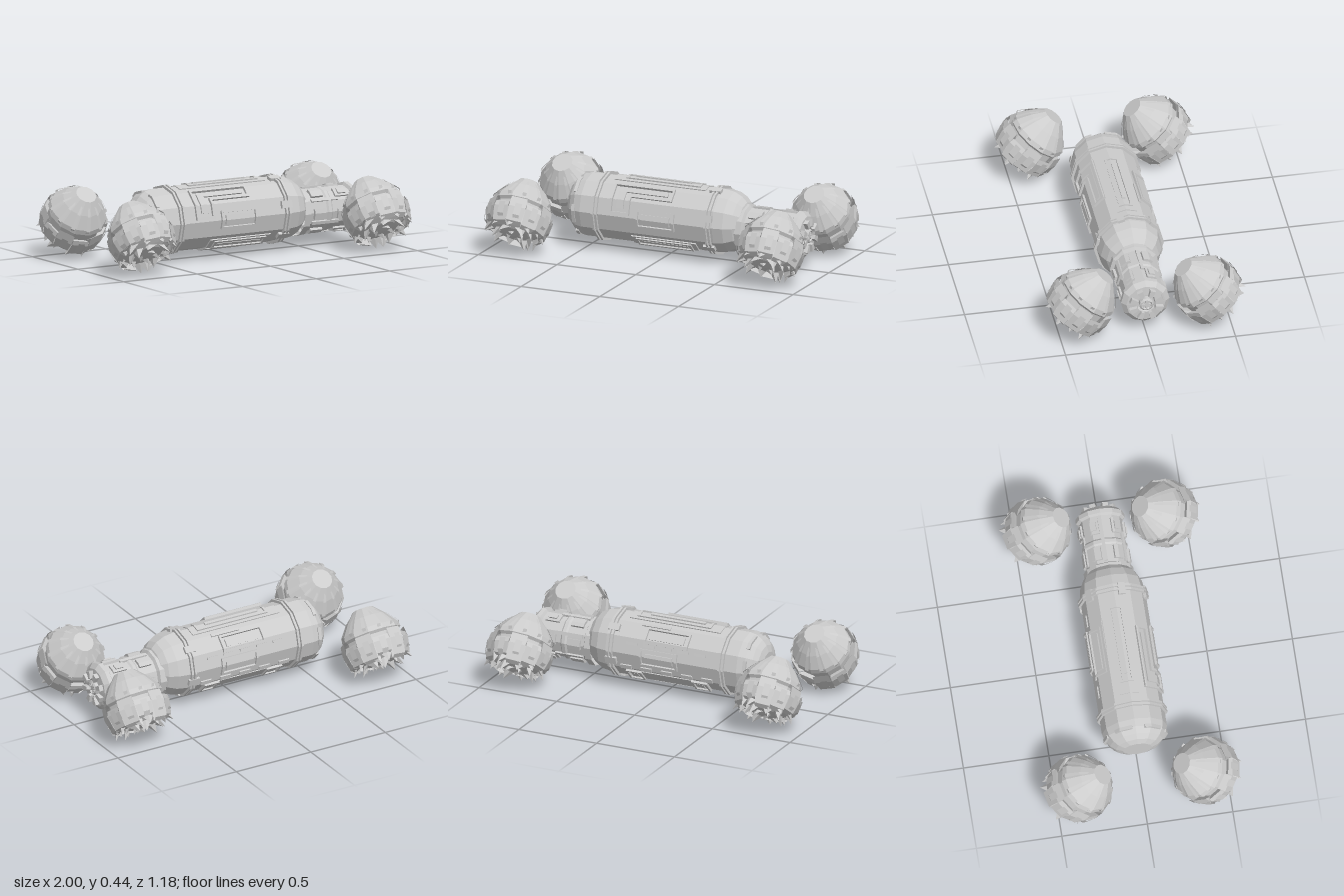
import * as THREE from 'three';

const grey = new THREE.MeshStandardMaterial({ color: 0xcccccc, flatShading: true, side: THREE.DoubleSide });
const RAD = Math.PI / 180;
const HULL_Y = 0.22, HULL_R = 0.19, NECK_Y = 0.19, NECK_R = 0.125;

function add(parent, name, geometry) {
  const mesh = new THREE.Mesh(geometry, grey);
  mesh.name = name;
  parent.add(mesh);
  return mesh;
}

// Faceted solid of revolution; points are [position along axis, radius]
const lathe = (pts, sides = 12, start = 0, length = Math.PI * 2) =>
  new THREE.LatheGeometry(pts.map(([a, r]) => new THREE.Vector2(r, a)), sides, start, length);
const latheX = (pts) => lathe(pts).rotateZ(-Math.PI / 2);

// Plate hugging a 12-sided tube along x; angles run from the top towards the front
function plate(parent, name, x0, x1, a0, a1, height, radius = HULL_R) {
  const angles = [a0];
  for (let a = Math.floor(a0 / 30) * 30 + 30; a < a1; a += 30) angles.push(a);
  angles.push(a1);
  const point = (a, h) => {
    const local = (((a % 30) + 30) % 30) - 15;
    const r = radius * Math.cos(15 * RAD) / Math.cos(local * RAD) + h;
    return new THREE.Vector2(-r * Math.sin(a * RAD), r * Math.cos(a * RAD));
  };
  const outline = [...angles.map(a => point(a, height)), ...angles.reverse().map(a => point(a, -0.02))];
  const g = new THREE.ExtrudeGeometry(new THREE.Shape(outline), { depth: x1 - x0, bevelEnabled: false });
  return add(parent, name, g.rotateY(Math.PI / 2).translate(x0, 0, 0));
}

// Raised border around a lower centre plate
function hatch(parent, name, x0, x1, a0, a1, h = 0.012, inner = true) {
  const g = new THREE.Group();
  g.name = name;
  parent.add(g);
  const t = 0.012, ta = 4;
  plate(g, 'hatchEdge', x0, x1, a0, a0 + ta, h);
  plate(g, 'hatchEdge', x0, x1, a1 - ta, a1, h);
  plate(g, 'hatchEnd', x0, x0 + t, a0, a1, h);
  plate(g, 'hatchEnd', x1 - t, x1, a0, a1, h);
  if (inner) plate(g, 'hatchCentre', x0 + 2.5 * t, x1 - 2.5 * t, a0 + 2 * ta, a1 - 2 * ta, h * 0.7);
}

function buildHull() {
  const hull = new THREE.Group();
  hull.name = 'hull';
  hull.position.y = HULL_Y;
  add(hull, 'hullShell', latheX([[-0.62, 0], [-0.62, 0.085], [-0.605, 0.125], [-0.58, 0.155], [-0.545, 0.18],
    [-0.5, HULL_R], [0.34, HULL_R], [0.4, 0.18], [0.45, 0.155], [0.48, 0.125], [0.49, 0.1], [0.49, 0]]));
  // paired bands
  for (const x of [-0.415, -0.393, 0.3, 0.322])
    add(hull, 'band', latheX([[x - 0.006, 0.18], [x - 0.006, 0.206], [x + 0.006, 0.206], [x + 0.006, 0.18]]));

  // spine panel
  plate(hull, 'spinePanel', -0.34, 0.24, -20, 16, 0.006);
  hatch(hull, 'spineFrame', -0.27, 0.2, -14, 10, 0.014, false);
  plate(hull, 'spineSlat', -0.22, 0.13, -5, 1, 0.014);
  // upper rear hatch and upper front ledge
  hatch(hull, 'upperRearHatch', -0.18, 0.1, -66, -36, 0.014);
  plate(hull, 'upperRearSlat', -0.04, 0.14, -34, -29, 0.008);
  // stepped L-shaped panel on the front
  for (const [x0, x1, a0, a1] of [[-0.31, 0.07, 28, 33], [0.058, 0.07, 28, 52], [-0.19, 0.07, 48, 53],
    [-0.2, -0.185, 48, 86], [-0.31, -0.185, 81, 86], [-0.31, -0.297, 28, 86]])
    plate(hull, 'stepPanelEdge', x0, x1, a0, a1, 0.015);
  plate(hull, 'stepPanelArm', -0.27, 0.035, 37, 44, 0.009);
  plate(hull, 'stepPanelLeg', -0.27, -0.225, 37, 75, 0.009);
  // side hatches
  hatch(hull, 'frontHatch', -0.14, 0.1, 73, 106, 0.013);
  hatch(hull, 'rearHatch', -0.12, 0.12, -108, -76, 0.013);
  plate(hull, 'lowerFrontPanel', -0.19, 0.22, 128, 154, 0.008);
  hatch(hull, 'lowerFrontFrame', -0.16, 0.19, 131, 151, 0.016);
  plate(hull, 'lowerRearPanel', -0.3, 0.2, -150, -124, 0.006);
  // belly panel and small square hatches
  plate(hull, 'bellyPanel', -0.18, 0.08, 158, 202, 0.012);
  for (const x of [-0.3, 0.12]) hatch(hull, 'bellyHatch', x, x + 0.1, 208, 236, 0.016);
  for (let i = 0; i < 5; i++) {
    plate(hull, 'bellySlat', -0.34 + i * 0.13, -0.27 + i * 0.13, 240, 247, 0.008);
    plate(hull, 'rearSlat', -0.3 + i * 0.11, -0.23 + i * 0.11, -72, -68, 0.008);
  }
  // short plates beside the bands and on the domed end
  for (let a = 8; a < 360; a += 60) {
    plate(hull, 'bandClamp', 0.27, 0.34, a, a + 12, 0.018);
    plate(hull, 'domeRib', -0.555, -0.535, a + 10, a + 46, 0.004, 0.184);
  }
  return hull;
}

function buildNeck() {
  const neck = new THREE.Group();
  neck.name = 'neck';
  neck.position.y = NECK_Y;
  add(neck, 'neckShell', latheX([[0.46, 0.145], [0.5, 0.145], [0.51, NECK_R], [0.62, NECK_R], [0.63, 0.133],
    [0.65, 0.133], [0.66, NECK_R], [0.8, NECK_R], [0.81, 0.143], [0.835, 0.143], [0.86, 0.115], [0.865, 0.06],
    [0.85, 0.05], [0.85, 0]]));
  for (const a of [-40, 20, 80, 140, 200, 260]) {
    plate(neck, 'neckBlock', 0.53, 0.61, a, a + 26, 0.016, NECK_R);
    plate(neck, 'neckRail', 0.52, 0.7, a + 32, a + 40, 0.012, NECK_R);
    plate(neck, 'neckPad', 0.69, 0.78, a + 4, a + 30, 0.012, NECK_R);
    plate(neck, 'neckPadTop', 0.71, 0.76, a + 10, a + 24, 0.02, NECK_R);
  }
  // ring of teeth around the docking hub
  for (let i = 0; i < 8; i++) {
    const tooth = new THREE.BoxGeometry(0.035, 0.045, 0.035);
    const p = tooth.attributes.position;
    for (let k = 0; k < p.count; k++) if (p.getY(k) < 0) p.setZ(k, p.getZ(k) * 0.55);
    add(neck, 'dockTooth', tooth.translate(0.869, 0.078, 0).rotateX((i + 0.5) * Math.PI / 4));
  }
  add(neck, 'dockHub', latheX([[0.84, 0.042], [0.875, 0.042], [0.882, 0.032], [0.87, 0.026], [0.87, 0]]));
  for (let i = 0; i < 4; i++)
    add(neck, 'hubSpoke', new THREE.BoxGeometry(0.012, 0.07, 0.008).translate(0.872, 0, 0).rotateX(i * Math.PI / 4));
  return neck;
}

// Pod axis is local y: flat cap at the bottom, shard-covered face on top
function buildPod(seed) {
  let s = seed;
  const rnd = () => (s = (s * 16807) % 2147483647) / 2147483647;
  const pod = new THREE.Group();
  pod.name = 'pod';
  add(pod, 'podBody', lathe([[-0.22, 0], [-0.22, 0.062], [-0.16, 0.12], [-0.09, 0.172], [-0.06, 0.178],
    [-0.045, 0.162], [0.08, 0.155], [0.11, 0.09], [0.12, 0]]));
  // raised ribs on the cone
  for (let i = 0; i < 12; i++)
    add(pod, 'coneRib', lathe([[-0.208, 0.068], [-0.16, 0.126], [-0.09, 0.18], [-0.07, 0.17]], 1,
      i * 30 * RAD + 0.06, 0.13));
  // overlapping rim plates with uneven swept-back edges
  for (let i = 0; i < 12; i++) {
    const tip = i % 2 ? -0.05 : -0.02, top = 0.075 + 0.035 * rnd();
    add(pod, 'rimPlate', lathe([[tip, 0.192], [0.01, 0.199], [top, 0.18], [top + 0.015, 0.15],
      [0, 0.16], [tip, 0.192]], 1, i * 30 * RAD - 0.02, 0.5));
    add(pod, 'rimRib', lathe([[-0.01, 0.2], [0.06, 0.193], [0.085, 0.17]], 1, i * 30 * RAD + 0.1, 0.2));
  }
  // rings of tilted shards on the outer face: count, ring radius, base height, length, width
  for (const [n, r, y, len, w] of [[11, 0.145, 0.075, 0.09, 0.05], [8, 0.09, 0.09, 0.09, 0.05], [4, 0.035, 0.095, 0.085, 0.045]])
    for (let i = 0; i < n; i++) {
      const h = len * (0.75 + 0.35 * rnd());
      const shard = add(pod, 'shard', new THREE.ConeGeometry(w, h, 4).scale(1, 1, 0.6).translate(0, h / 2 - 0.02, 0));
      const a = (i + 0.3 * rnd()) / n * Math.PI * 2;
      shard.position.set(r * Math.sin(a), y, r * Math.cos(a));
      shard.rotation.set(0.25 + 0.35 * rnd(), a, (rnd() - 0.5) * 1.1, 'YXZ');
    }
  return pod;
}

export function createModel() {
  const model = new THREE.Group();
  model.name = 'spacecraft';
  model.add(buildHull(), buildNeck());
  // four pods, caps tilted up and in towards the hull
  for (const x of [-0.8, 0.8])
    for (const side of [1, -1]) {
      const pod = buildPod(4711);
      pod.position.set(x, 0.2, side * 0.37);
      pod.rotation.x = side * 2.456;
      model.add(pod);
    }
  return model;
}
